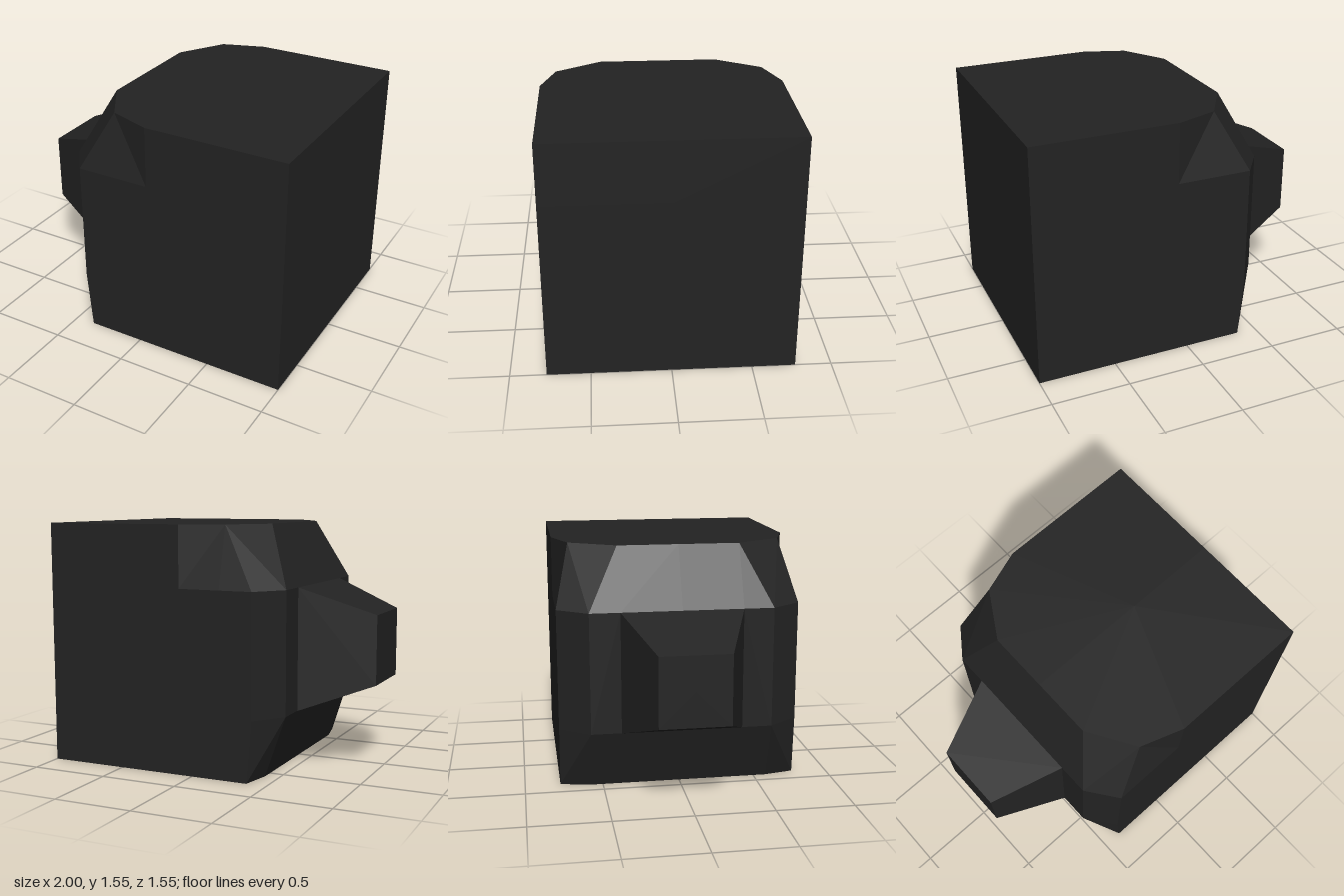
import * as THREE from 'three';

const charcoal = new THREE.MeshStandardMaterial({ color: 0x232323 });
charcoal.name = 'charcoal';

// Half outlines [x, z], running from the tapered end's middle to the flat end's middle
const flank = [[-0.19, 0.773], [0.08, 0.773], [1, 0.773], [1, 0]];
const base = [[-0.41, 0], [-0.41, 0.387], [-0.41, 0.58], [-0.37, 0.773], ...flank];
const waist = [[-0.545, 0], [-0.545, 0.387], [-0.545, 0.58], [-0.403, 0.773], ...flank];
const crown = [[-0.37, 0], [-0.37, 0.387], [-0.19, 0.68], [-0.19, 0.68], [-0.19, 0.68],
  [0.08, 0.773], [1, 0.773], [1, 0]];
const layers = [[0, base], [0.387, waist], [1.16, waist], [1.547, crown]];

// Block lofted through the four outlines, each half mirrored across z
function blockGeometry() {
  const pos = [];
  const same = (a, b) => a.every((v, i) => v === b[i]);
  for (const side of [1, -1]) {
    const tri = (a, b, c) => {
      if (same(a, b) || same(b, c) || same(a, c)) return;
      for (const p of side > 0 ? [a, b, c] : [a, c, b]) pos.push(p[0], p[1], p[2] * side);
    };
    const rings = layers.map(([y, ring]) => ring.map(([x, z]) => [x, y, z]));
    for (let i = 0; i < base.length - 1; i++) {
      for (let j = 0; j < rings.length - 1; j++) {
        const lo = rings[j], hi = rings[j + 1];
        tri(lo[i], lo[i + 1], hi[i]);
        tri(hi[i], lo[i + 1], hi[i + 1]);
      }
      // Flat top and underside
      tri([0.4, 1.547, 0], rings[3][i], rings[3][i + 1]);
      tri([0.4, 0, 0], rings[0][i + 1], rings[0][i]);
    }
  }
  const geo = new THREE.BufferGeometry();
  geo.setAttribute('position', new THREE.Float32BufferAttribute(pos, 3));
  geo.computeVertexNormals();
  return geo;
}

// Square tapered plug pointing to -x
function plugGeometry() {
  const geo = new THREE.CylinderGeometry(0.22 * Math.SQRT2, 0.387 * Math.SQRT2, 0.455, 4)
    .rotateY(Math.PI / 4).rotateZ(Math.PI / 2)
    .translate(-0.7725, 0.773, 0).toNonIndexed();
  geo.computeVertexNormals();
  return geo;
}

export function createModel() {
  const group = new THREE.Group();
  group.name = 'model';
  const block = new THREE.Mesh(blockGeometry(), charcoal);
  block.name = 'block';
  const plug = new THREE.Mesh(plugGeometry(), charcoal);
  plug.name = 'taperedPlug';
  group.add(block, plug);
  return group;
}
